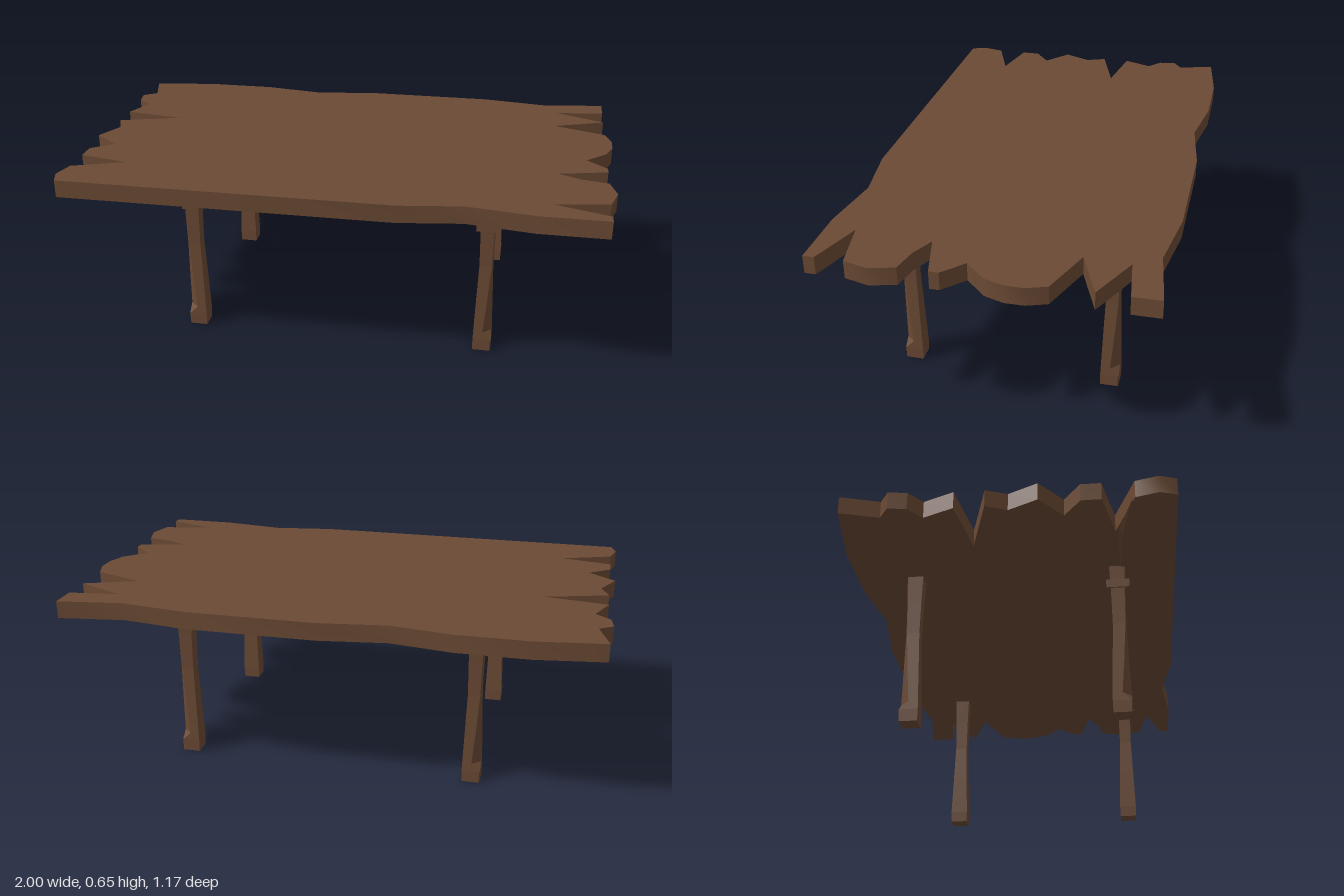
import * as THREE from 'three';
import { toCreasedNormals } from 'three/addons/utils/BufferGeometryUtils.js';
import { ConvexGeometry } from 'three/addons/geometries/ConvexGeometry.js';

const TOP = 0.65, UNDER = 0.585;

// outline of the worn planks, [x, z], running round the table
const backEdge = [[-0.99, -0.555], [-0.74, -0.59], [-0.48, -0.59], [-0.25, -0.555], [0, -0.59], [0.48, -0.59], [0.73, -0.555], [0.975, -0.59]];
const leftEnd = [
  [0.975, -0.49], [0.79, -0.465], [0.975, -0.38], [0.78, -0.305], [0.975, -0.235], [1, -0.165], [1, -0.095],
  [0.975, -0.025], [0.9, 0.05], [0.975, 0.12], [0.975, 0.155], [0.795, 0.2], [0.88, 0.24], [0.975, 0.26],
  [1, 0.35], [0.975, 0.44], [0.78, 0.475], [0.975, 0.54], [0.975, 0.58]
];
const frontEdge = [[0.73, 0.58], [0.485, 0.545], [0.25, 0.58], [-0.3, 0.58]];
const rightEnd = [
  [-0.98, 0.58], [-1, 0.52], [-0.98, 0.44], [-0.79, 0.37], [-0.98, 0.33], [-0.98, 0.26], [-0.9, 0.2],
  [-1, 0.12], [-0.95, 0.015], [-0.98, -0.06], [-0.75, -0.13], [-0.98, -0.165], [-0.935, -0.275],
  [-0.99, -0.32], [-1, -0.385], [-0.95, -0.42]
];

// leg profile: [height, half width, size of the chip on the outer corner]
const legProfile = [
  [0, 0.033, 0.003], [0.045, 0.034, 0.003], [0.075, 0.033, 0.032], [0.2, 0.029, 0.018],
  [0.35, 0.024, 0.003], [0.48, 0.026, 0.003], [UNDER + 0.01, 0.03, 0.003]
];

// five-sided loft whose chipped corner points towards (sx, sz)
function legGeometry(sx, sz) {
  const positions = [], index = [], n = 5;
  for (const [y, h, c] of legProfile) {
    const ring = [[h, h - c], [h, -h], [-h, -h], [-h, h], [h - c, h]];
    for (const [x, z] of ring) positions.push(x * sx, y, z * sz);
  }
  const tri = (a, b, c) => (sx * sz > 0 ? index.push(a, c, b) : index.push(a, b, c));
  for (let r = 0; r < legProfile.length - 1; r++) {
    for (let i = 0; i < n; i++) {
      const a = r * n + i, b = r * n + (i + 1) % n;
      tri(a, a + n, b);
      tri(b, a + n, b + n);
    }
  }
  const last = (legProfile.length - 1) * n;
  for (let i = 1; i < n - 1; i++) {
    tri(0, i, i + 1);
    tri(last, last + i + 1, last + i);
  }
  const geometry = new THREE.BufferGeometry();
  geometry.setAttribute('position', new THREE.Float32BufferAttribute(positions, 3));
  geometry.setIndex(index);
  const flat = geometry.toNonIndexed();
  flat.computeVertexNormals();
  return flat;
}

export function createModel() {
  const table = new THREE.Group();
  table.name = 'table';
  const wood = new THREE.MeshStandardMaterial({ color: 0x6b4a34 });
  const flatWood = new THREE.MeshStandardMaterial({ color: 0x6b4a34, flatShading: true });
  const add = (parent, name, geometry, material) => {
    const mesh = new THREE.Mesh(geometry, material);
    mesh.name = name;
    parent.add(mesh);
    return mesh;
  };

  // tabletop with splintered ends
  const points = [...backEdge, ...leftEnd, ...frontEdge, ...rightEnd].map(([x, z]) => new THREE.Vector2(x, z));
  const slab = new THREE.ExtrudeGeometry(new THREE.Shape(points), { depth: TOP - UNDER, bevelEnabled: false });
  slab.rotateX(Math.PI / 2).translate(0, TOP, 0);
  add(table, 'tabletop', toCreasedNormals(slab, 0.7), wood);

  // sagging splinter under the front right corner
  const splinter = [[-0.97, UNDER, 0.43], [-0.5, UNDER, 0.38], [-0.5, UNDER, 0.44], [-0.8, UNDER, 0.44], [-0.8, UNDER, 0.38], [-0.8, 0.566, 0.395]];
  add(table, 'splinter', new ConvexGeometry(splinter.map(p => new THREE.Vector3(...p))), flatWood);

  // four legs, collars on the front pair
  for (const sx of [-1, 1]) {
    for (const sz of [-1, 1]) {
      const leg = new THREE.Group();
      leg.name = (sz > 0 ? 'front' : 'back') + (sx > 0 ? 'Left' : 'Right') + 'Leg';
      leg.position.set(sx > 0 ? 0.5625 : -0.5375, 0, sz > 0 ? 0.37 : -0.375);
      add(leg, 'post', legGeometry(sx, sz), flatWood);
      if (sz > 0) {
        const collar = new THREE.BoxGeometry(sx > 0 ? 0.083 : 0.064, 0.033, 0.084);
        add(leg, 'collar', collar, flatWood).position.y = 0.512;
      }
      table.add(leg);
    }
  }
  return table;
}
